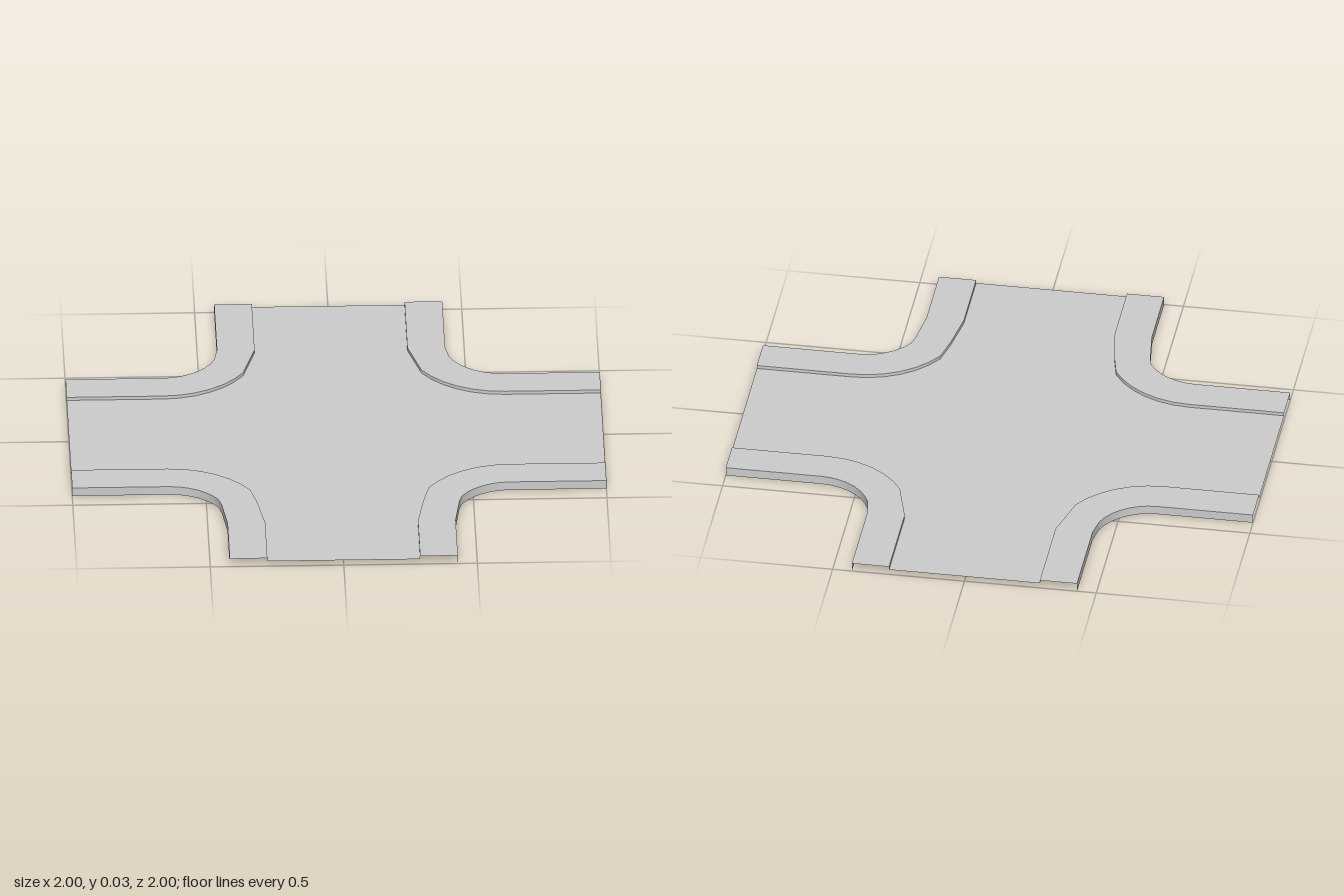
import * as THREE from 'three';

const ROAD = 0.286, EDGE = 0.427, BEND = 0.64, FRONT_BEND = 0.72;
const ROAD_Y = 0.021, TOP_Y = 0.034;

const material = new THREE.MeshStandardMaterial({ color: 0xcccccc, side: THREE.DoubleSide });

// Plan line [x, z] of one corner in the +x quadrant, from the z arm to the x arm
function cornerLine(offset, front, kinkX, kinkZ, firstAngles) {
  const r = BEND - offset;
  const pts = [[offset, 1]];
  if (front) pts.push([offset, FRONT_BEND], [kinkX, kinkZ]);
  else pts.push([offset, BEND], ...firstAngles.map((a) => arc(a)));
  for (let a = 30; a <= 90; a += 10) pts.push(arc(a));
  pts.push([1, offset]);
  return pts;

  function arc(deg) {
    const t = THREE.MathUtils.degToRad(deg);
    return [BEND - r * Math.cos(t), BEND - r * Math.sin(t)];
  }
}

// Band of quads between two plan lines, each at its own height
function band(name, a, ya, b, yb, sx, sz) {
  const pos = [], index = [];
  a.forEach((p, i) => {
    pos.push(p[0] * sx, ya, p[1] * sz, b[i][0] * sx, yb, b[i][1] * sz);
    if (i === 0) return;
    const k = 2 * i - 2;
    if (sx * sz > 0) index.push(k, k + 1, k + 2, k + 1, k + 3, k + 2);
    else index.push(k, k + 2, k + 1, k + 1, k + 2, k + 3);
  });
  const geo = new THREE.BufferGeometry();
  geo.setAttribute('position', new THREE.Float32BufferAttribute(pos, 3));
  geo.setIndex(index);
  geo.computeVertexNormals();
  const mesh = new THREE.Mesh(geo, material);
  mesh.name = name;
  return mesh;
}

// Cross-shaped road sheet with cut corners hidden under the pavements
function roadSurface() {
  const f = FRONT_BEND, b = BEND, r = ROAD;
  const half = [[r, 1], [r, f], [b, r], [1, r], [1, -r], [b, -r], [r, -b], [r, -1]];
  const outline = [...half, ...half.map(([x, z]) => [-x, z]).reverse()];
  const shape = new THREE.Shape(outline.map(([x, z]) => new THREE.Vector2(x, -z)));
  const geo = new THREE.ShapeGeometry(shape).rotateX(-Math.PI / 2).translate(0, ROAD_Y, 0);
  const mesh = new THREE.Mesh(geo, material);
  mesh.name = 'roadSurface';
  return mesh;
}

export function createModel() {
  const model = new THREE.Group();
  model.name = 'crossroads';
  model.add(roadSurface());

  // Four pavements: kerb face, walking surface and outer skirt
  for (const sz of [1, -1]) {
    const inner = cornerLine(ROAD, sz > 0, 0.31, 0.565, [30]);
    const outer = cornerLine(EDGE, sz > 0, 0.445, 0.575, [20]);
    for (const sx of [1, -1]) {
      const corner = new THREE.Group();
      corner.name = (sz > 0 ? 'front' : 'back') + (sx > 0 ? 'Left' : 'Right') + 'Pavement';
      corner.add(
        band('kerbFace', inner, ROAD_Y, inner, TOP_Y, sx, sz),
        band('pavementTop', inner, TOP_Y, outer, TOP_Y, sx, sz),
        band('outerSkirt', outer, TOP_Y, outer, 0, sx, sz),
      );
      model.add(corner);
    }
  }
  return model;
}
